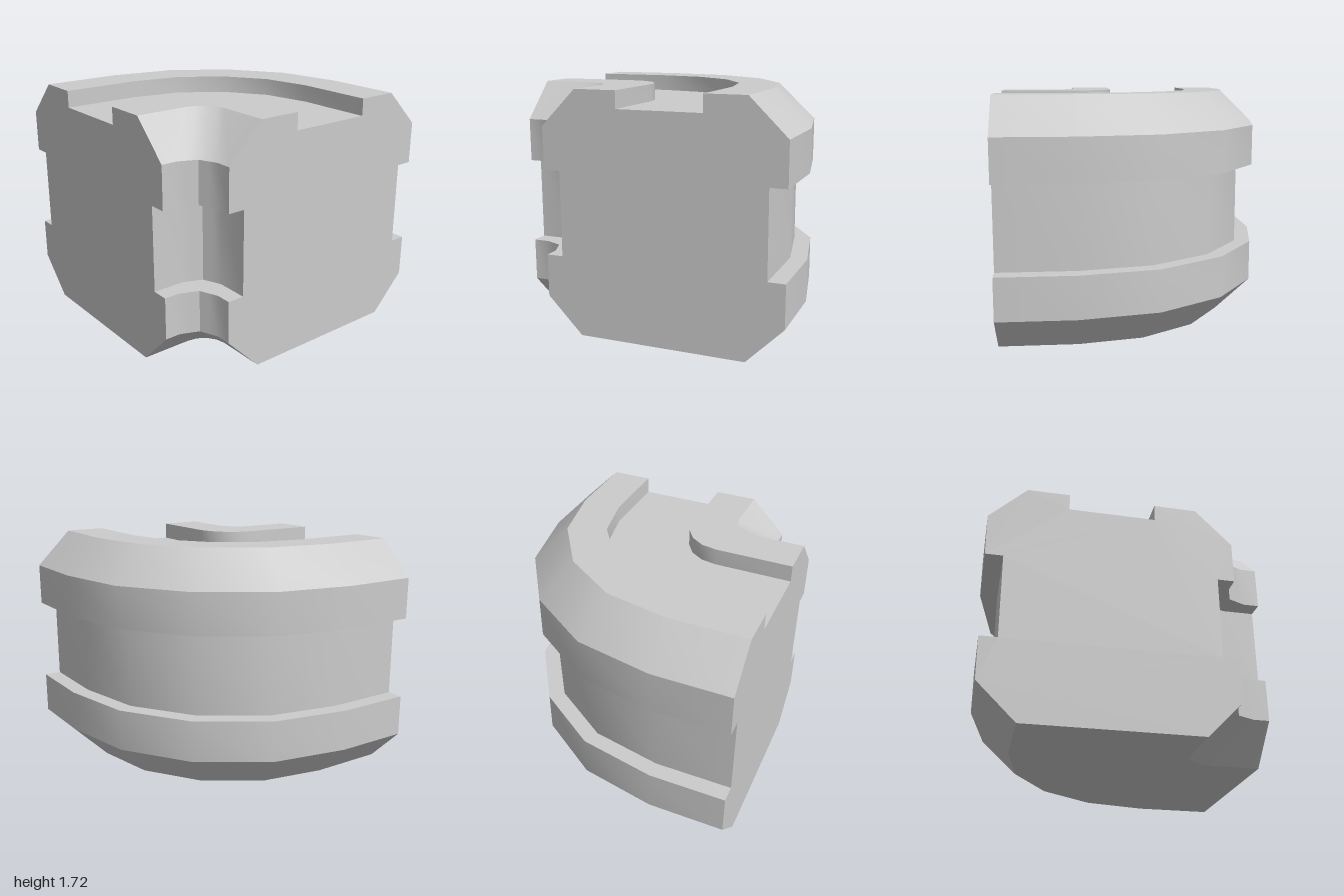
import * as THREE from 'three';
import { toCreasedNormals } from 'three/addons/utils/BufferGeometryUtils.js';

// Cross-section [d, y, c, segments]: offset d, height y, arc centre c, arc facets
const OUT = 0.45;
const PROFILE = [
  [-0.74, 0, OUT, 4], [-1, 0.26, OUT, 4], [-1, 0.56, OUT, 4], [-0.88, 0.56, OUT, 4],
  [-0.88, 1.16, OUT, 4], [-1, 1.16, OUT, 4], [-1, 1.46, OUT, 4], [-0.74, 1.715, OUT, 4],
  [-0.45, 1.715, OUT, 4], [-0.45, 1.595, OUT, 4], [0.155, 1.595, OUT, 4], [0.155, 1.715, OUT, 4],
  [0.455, 1.715, 0.64, 4], [0.71, 1.46, 0.89, 2], [0.71, 1.16, 0.89, 2], [0.59, 1.16, 0.77, 2],
  [0.59, 0.56, 0.77, 2], [0.71, 0.56, 0.89, 2], [0.71, 0.26, 0.89, 2], [0.455, 0, 0.64, 4],
];

// Path of one section point: straight, quarter turn, straight
function ring([d, y, c, segments]) {
  const r = c - d;
  const arc = (k) => {
    const a = (k / 4) * Math.PI / 2;
    return new THREE.Vector3(c - r * Math.cos(a), y, c - r * Math.sin(a));
  };
  const points = [new THREE.Vector3(d, y, 1)];
  for (let k = 0; k <= 4; k++) {
    const between = segments === 2 && k % 2 === 1;
    points.push(between ? arc(k - 1).lerp(arc(k + 1), 0.5) : arc(k));
  }
  points.push(new THREE.Vector3(1, y, d));
  return points;
}

function fromTriangles(corners) {
  const geometry = new THREE.BufferGeometry().setFromPoints(corners);
  return toCreasedNormals(geometry, 0.6);
}

function sweptSkin() {
  const rings = PROFILE.map(ring);
  const corners = [];
  rings.forEach((p, i) => {
    const q = rings[(i + 1) % rings.length];
    for (let j = 0; j < p.length - 1; j++) {
      corners.push(p[j], q[j], q[j + 1], p[j], q[j + 1], p[j + 1]);
    }
  });
  return fromTriangles(corners);
}

// Flat cut face on z = 1, or its mirror on x = 1
function cutFace(mirrored) {
  const shape = new THREE.Shape(PROFILE.map(([d, y]) => new THREE.Vector2(d, y)));
  const flat = new THREE.ShapeGeometry(shape).toNonIndexed();
  const position = flat.getAttribute('position');
  const corners = [];
  for (let i = 0; i < position.count; i++) {
    const d = position.getX(i), y = position.getY(i);
    corners.push(mirrored ? new THREE.Vector3(1, y, d) : new THREE.Vector3(d, y, 1));
  }
  // Swapping x and z reverses the winding, so turn it back
  if (mirrored) corners.reverse();
  return fromTriangles(corners);
}

export function createModel() {
  const group = new THREE.Group();
  group.name = 'curvedCornerBlock';
  const material = new THREE.MeshStandardMaterial({ color: 0xcccccc });
  const add = (name, geometry) => {
    const mesh = new THREE.Mesh(geometry, material);
    mesh.name = name;
    group.add(mesh);
  };
  add('groovedBody', sweptSkin());
  add('frontCutFace', cutFace(false));
  add('leftCutFace', cutFace(true));
  return group;
}
